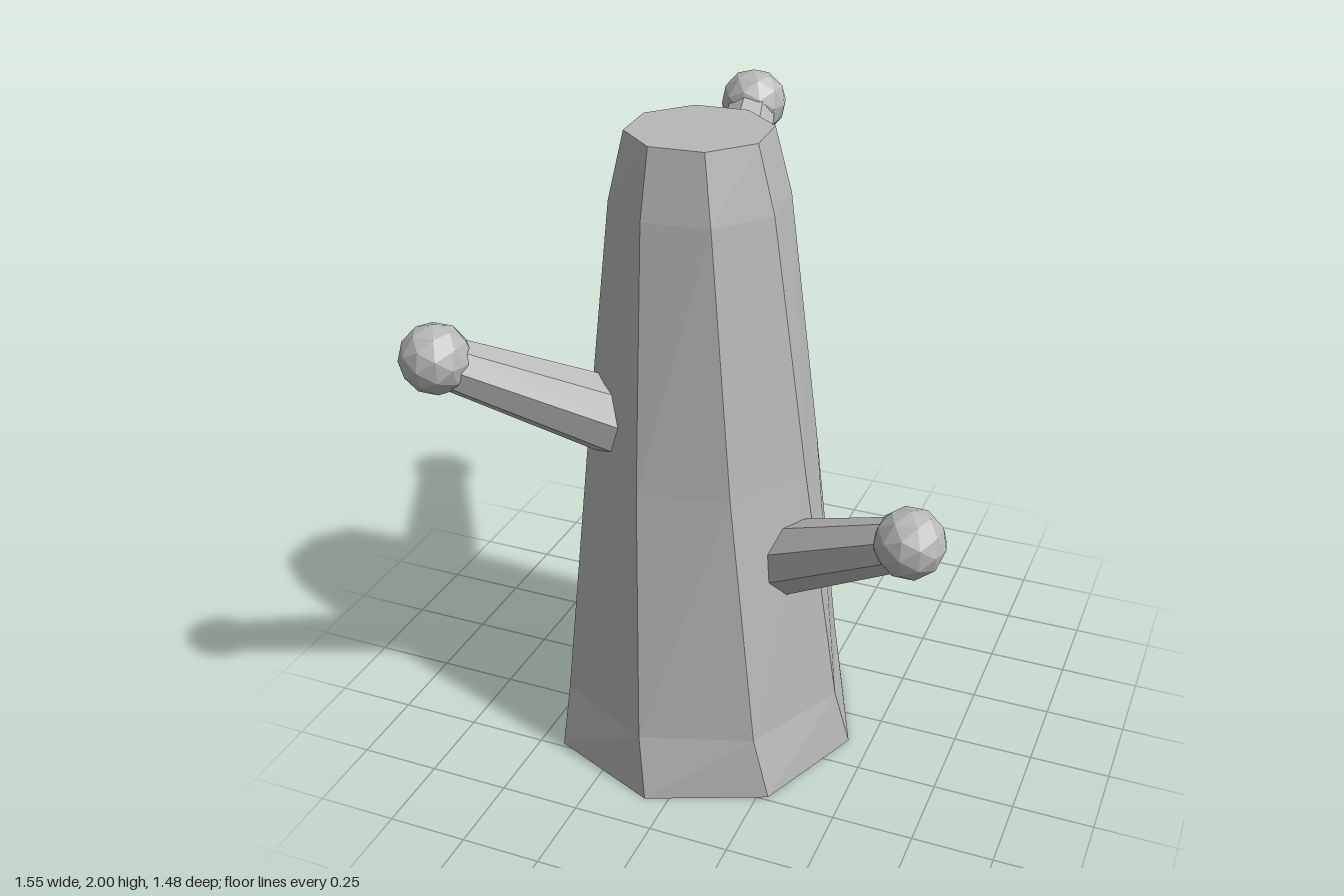
import * as THREE from 'three';

const UP = new THREE.Vector3(0, 1, 0);
const CENTRE = { x: -0.07, z: 0.133 };

// Split faces apart so every facet is flat
function faceted(geometry) {
  const g = geometry.index ? geometry.toNonIndexed() : geometry;
  g.computeVertexNormals();
  return g;
}

// Trunk rings, bottom to top: height, radius, twist in degrees
const RINGS = [
  [0, 0.5, 0],
  [0.2, 0.46, 4],
  [1, 0.36, 10],
  [1.8, 0.262, 16],
  [2, 0.212, 18.5],
];

// Eight-sided trunk, tapered and twisted ring by ring
function trunkGeometry() {
  const g = new THREE.CylinderGeometry(1, 1, 4, 8, 4);
  const p = g.attributes.position;
  for (let i = 0; i < p.count; i++) {
    const [y, r, twist] = RINGS[Math.round(p.getY(i) + 2)];
    const a = THREE.MathUtils.degToRad(twist);
    const x = p.getX(i), z = p.getZ(i);
    p.setXYZ(i, r * (x * Math.cos(a) - z * Math.sin(a)), y, r * (x * Math.sin(a) + z * Math.cos(a)));
  }
  return faceted(g);
}

export function createModel() {
  const model = new THREE.Group();
  model.name = 'stylisedTree';
  const grey = new THREE.MeshStandardMaterial({ color: 0xb8b8b8 });
  grey.name = 'plainGrey';

  const add = (name, geometry, parent = model) => {
    const mesh = new THREE.Mesh(geometry, grey);
    mesh.name = name;
    parent.add(mesh);
    return mesh;
  };

  add('trunk', trunkGeometry()).position.set(CENTRE.x, 0, CENTRE.z);

  // Three upward branches a third of a turn apart, each ending in a knob
  const branches = [
    ['leftBranch', 20, 0.97],
    ['rightBranch', 140, 1.41],
    ['backBranch', 260, 1.84],
  ];
  for (const [name, azimuth, tipY] of branches) {
    const a = THREE.MathUtils.degToRad(azimuth);
    const at = (r, y) => new THREE.Vector3(CENTRE.x + r * Math.cos(a), y, CENTRE.z + r * Math.sin(a));
    const tip = at(0.783, tipY);
    const root = at(0.2, tipY - 0.308);
    const dir = tip.clone().sub(root);
    const group = new THREE.Group();
    group.name = name;
    model.add(group);

    const limb = add('limb', faceted(new THREE.CylinderGeometry(0.075, 0.125, dir.length(), 8)), group);
    limb.position.copy(root).add(tip).multiplyScalar(0.5);
    limb.quaternion.setFromUnitVectors(UP, dir.normalize());

    add('knob', faceted(new THREE.IcosahedronGeometry(0.105, 1)), group).position.copy(tip);
  }
  return model;
}
